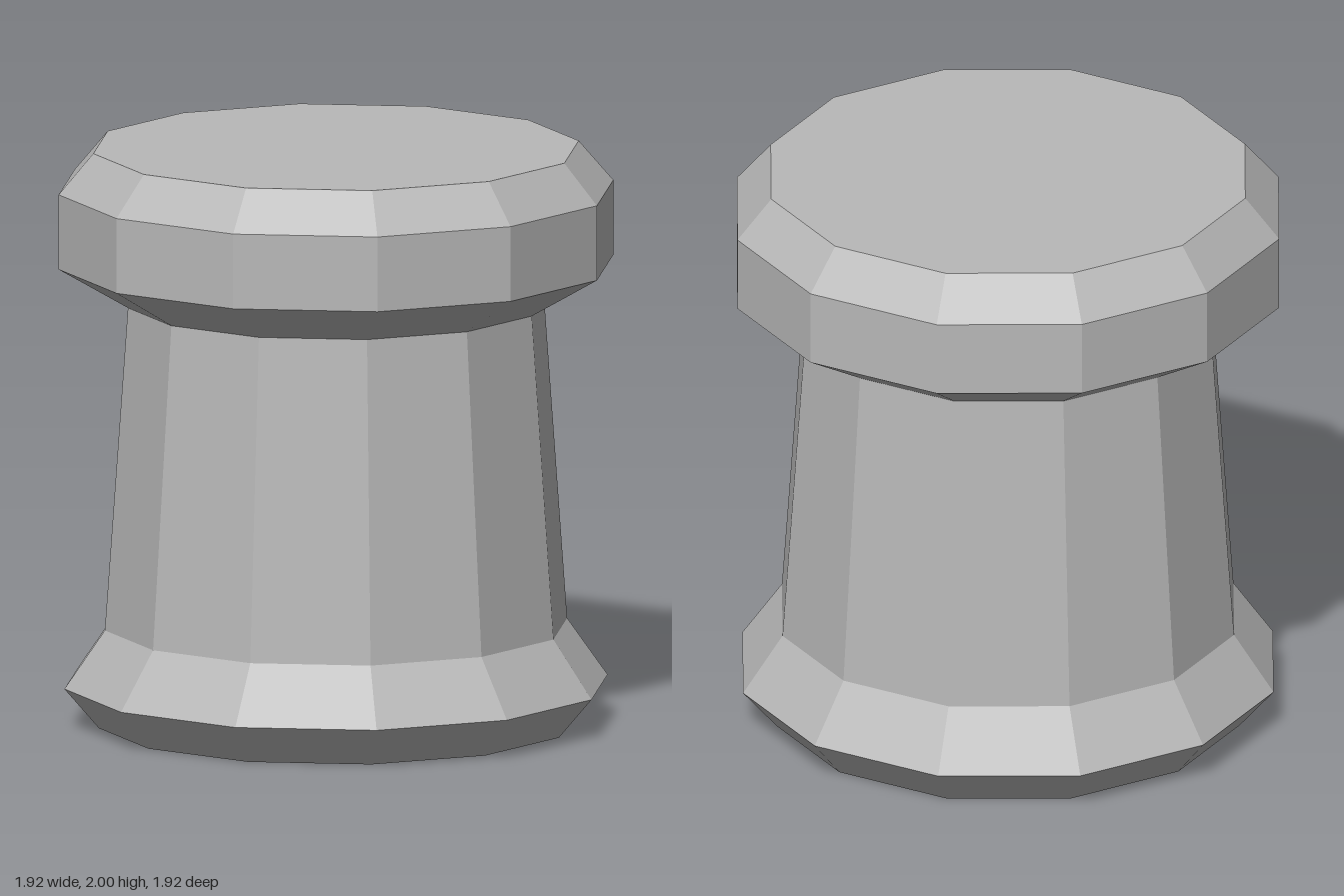
import * as THREE from 'three';

const SIDES = 12;

// Turns a [radius, height] profile, listed bottom to top, into a faceted ring
function turned(name, profile, material) {
  const points = profile.map(([r, y]) => new THREE.Vector2(r, y));
  const geometry = new THREE.LatheGeometry(points, SIDES).toNonIndexed();
  geometry.computeVertexNormals();
  const mesh = new THREE.Mesh(geometry, material);
  mesh.name = name;
  return mesh;
}

// Flat twelve-sided disc facing up or down
function disc(name, radius, y, up, material) {
  const geometry = new THREE.CircleGeometry(radius, SIDES);
  geometry.rotateX(up ? -Math.PI / 2 : Math.PI / 2);
  const mesh = new THREE.Mesh(geometry, material);
  mesh.name = name;
  mesh.position.y = y;
  return mesh;
}

export function createModel() {
  const group = new THREE.Group();
  group.name = 'bollard';

  const grey = new THREE.MeshStandardMaterial({ color: 0xb8b8b8 });
  grey.name = 'light grey';
  grey.flatShading = true;

  group.add(
    // Flared foot
    disc('footUnderside', 0.82, 0, false, grey),
    turned('foot', [[0.82, 0], [0.94, 0.14], [0.8, 0.34]], grey),
    // Tapered shaft
    turned('shaft', [[0.8, 0.34], [0.72, 1.46]], grey),
    // Overhanging bevelled head
    turned('head', [[0.72, 1.46], [0.96, 1.6], [0.96, 1.86], [0.84, 2]], grey),
    disc('headTop', 0.84, 2, true, grey),
  );
  return group;
}
